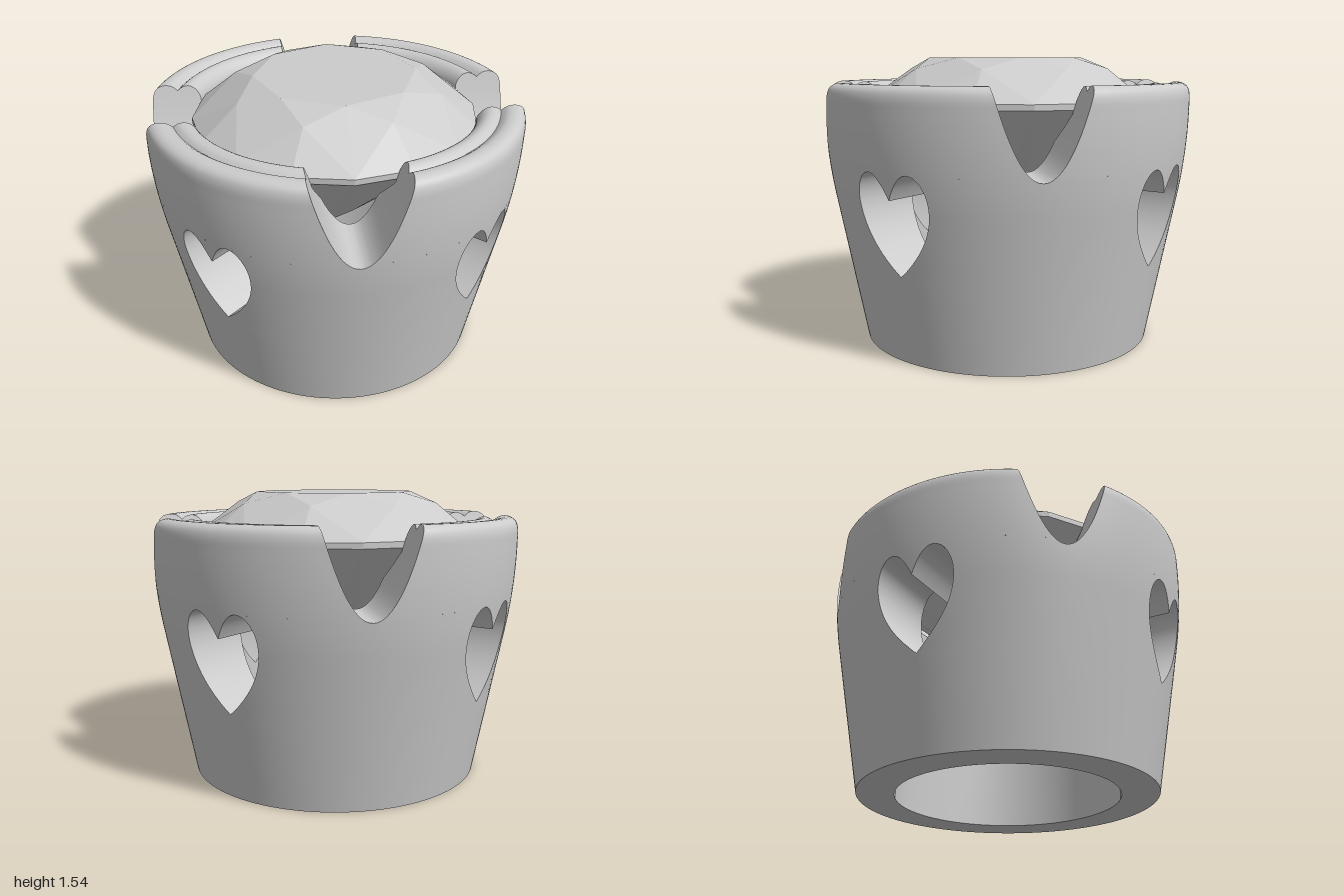
import * as THREE from 'three';
import { mergeGeometries, toCreasedNormals } from 'three/addons/utils/BufferGeometryUtils.js';

const BORE = 0.6, SEAT = 0.745, RIM_Y = 1.3, LOBE_Y = 1.0, CLEFT_Y = 0.87;
const polar = (r, a, y) => [r * Math.sin(a), y, r * Math.cos(a)];
const lerp = THREE.MathUtils.lerp;
const steps = (n, fn) => Array.from({ length: n + 1 }, (_, i) => fn(i / n));

// Radii of the outer wall and of the bore with its flared seat
const outerR = y => y < 0.8 ? 0.8 + 0.19 * y
  : 0.952 + 0.048 * (1 - Math.max(0, 1 - (y - 0.8) / 0.5) ** 2);
const boreR = y => lerp(BORE, SEAT, THREE.MathUtils.clamp((y - 1.13) / 0.14, 0, 1));

// Half widths of the cutters: heart outer edge, heart cleft, rounded notch
function heartOuter(y) {
  if (y <= 0.48 || y > LOBE_Y + 1e-6) return 0;
  if (y < 0.85) return 0.22 * (1 - (1 - (y - 0.48) / 0.37) ** 2);
  return 0.12 + 0.1 * Math.sqrt(Math.max(0, 1 - ((y - 0.85) / 0.15) ** 2));
}
const heartInner = y => 0.12 * (1 - Math.sqrt(Math.max(0, 1 - (y - CLEFT_Y) / 0.13)));
const notch = y => Math.sqrt(0.13 * Math.max(0, y - 0.98));

const heartAngle = (r, y) => Math.asin(heartOuter(y) / r);
const cleftAngle = (r, y) => Math.asin(heartInner(y) / r);
const notchAngle = (r, y) => Math.PI / 4 - Math.asin(notch(y) / r);

// Surface through rows of points; flip reverses the facing
function grid(rows, flip) {
  const pos = [];
  for (let i = 0; i < rows.length - 1; i++) {
    for (let j = 0; j < rows[i].length - 1; j++) {
      const a = rows[i][j], b = rows[i][j + 1], c = rows[i + 1][j + 1], d = rows[i + 1][j];
      for (const t of [[a, b, c], [a, c, d]]) {
        if (flip) t.reverse();
        pos.push(...t.flat());
      }
    }
  }
  return new THREE.BufferGeometry().setAttribute('position', new THREE.Float32BufferAttribute(pos, 3));
}

// Heights shared by walls and cut faces, denser where the outlines curve
const heights = [
  ...steps(6, t => 0.48 * t),
  ...steps(14, t => 0.48 + 0.37 * t),
  ...steps(10, t => 0.85 + 0.15 * Math.sin(t * Math.PI / 2)),
  ...steps(12, t => 0.98 + 0.32 * t * t),
  CLEFT_Y, 1.13, 1.27,
].sort((a, b) => a - b).filter((y, i, all) => i === 0 || y - all[i - 1] > 1e-5);
const between = (lo, hi) => heights.filter(y => y > lo - 1e-6 && y < hi + 1e-6);
const outerWall = ys => ys.map(y => [outerR(y), y]);
const boreWall = ys => ys.map(y => [boreR(y), y]).reverse();

// Double-beaded rim, from the outside inwards
const spline = pts => new THREE.SplineCurve(pts.map(p => new THREE.Vector2(...p)))
  .getPoints(16).map(p => [p.x, p.y]);
const rim = [
  ...spline([[1, RIM_Y], [0.999, 1.35], [0.985, 1.39], [0.95, 1.41], [0.905, 1.407], [0.87, 1.382]]),
  ...spline([[0.87, 1.382], [0.845, 1.401], [0.81, 1.405], [0.775, 1.385], [0.75, 1.345], [SEAT, RIM_Y]]).slice(1),
];

// One eighth of the setting, from heart centre to notch centre
function eighth(side) {
  const P = (r, a, y) => polar(r, side * a, y);
  const flip = side < 0;
  const band = (profile, from, to) => grid(profile.map(([r, y]) =>
    steps(18, t => P(r, lerp(from(r, y), to(r, y), t), y))), flip);
  const cut = (ys, angle, first, last) => grid(ys.map(y =>
    [first(y), last(y)].map(r => P(r, angle(r, y), y))), flip);
  const zero = () => 0;
  const lower = between(0, LOBE_Y), upper = between(LOBE_Y, RIM_Y), cleft = between(CLEFT_Y, LOBE_Y);
  return [
    // Walls beside the heart with the base ring, walls above it, and the cleft
    band([...boreWall(lower), ...outerWall(lower)], heartAngle, notchAngle),
    band([...outerWall(upper), ...rim.slice(1, -1), ...boreWall(upper)], zero, notchAngle),
    band(outerWall(cleft), zero, cleftAngle),
    band(boreWall(cleft), zero, cleftAngle),
    // Inside faces of the heart
    cut(between(0.48, LOBE_Y), heartAngle, boreR, outerR),
    cut(cleft, cleftAngle, outerR, boreR),
    // Inside faces of the notch, up to the beaded rim
    cut(between(0.98, RIM_Y), notchAngle, outerR, boreR),
    grid(steps(4, t => rim.map(([r, top]) => {
      const y = lerp(RIM_Y, top, t);
      return P(r, notchAngle(r, y), y);
    })), flip),
  ];
}

// Brilliant-cut stone
function gemGeometry() {
  const pos = [], R = 0.76, S = Math.PI / 8, top = 1.54, high = 1.32, low = 1.29, tip = 0.64;
  const face = (...p) => {
    for (let i = 1; i < p.length - 1; i++) pos.push(...p[0], ...p[i], ...p[i + 1]);
  };
  const midY = lerp(top, high, (0.56 * Math.cos(S) - 0.43) / (R - 0.43));
  const lowMidY = lerp(tip, low, 0.2 * Math.cos(S) / R);
  const T = a => polar(0.43, a, top), M = a => polar(0.56, a, midY), N = a => polar(0.2, a, lowMidY);
  const G = a => polar(R, a, high), L = a => polar(R, a, low);
  for (let k = 0; k < 8; k++) {
    const a = 2 * k * S, m = a + S, b = m + S;
    face(T(a), T(b), [0, top, 0]);            // table
    face(T(a), M(m), T(b));                   // star
    face(G(a), M(m), T(a), M(a - S));         // crown kite
    face(L(a), N(a - S), [0, tip, 0], N(m));  // pavilion kite
    for (const [p, q] of [[a, m], [m, b]]) {
      face(M(m), G(p), G(q));
      face(L(p), L(q), G(q), G(p));
      face(N(m), L(q), L(p));
    }
  }
  const geo = new THREE.BufferGeometry().setAttribute('position', new THREE.Float32BufferAttribute(pos, 3));
  geo.computeVertexNormals();
  return geo;
}

export function createModel() {
  const model = new THREE.Group();
  model.name = 'gemSetting';

  const parts = [];
  for (let k = 0; k < 4; k++) {
    for (const side of [1, -1]) {
      parts.push(...eighth(side).map(g => g.rotateY(k * Math.PI / 2)));
    }
  }
  const setting = new THREE.Mesh(
    toCreasedNormals(mergeGeometries(parts), 0.6),
    new THREE.MeshStandardMaterial({ color: 0xcccccc }));
  setting.name = 'setting';

  const gem = new THREE.Mesh(gemGeometry(),
    new THREE.MeshStandardMaterial({ color: 0xcccccc, flatShading: true }));
  gem.name = 'gem';

  model.add(setting, gem);
  return model;
}
